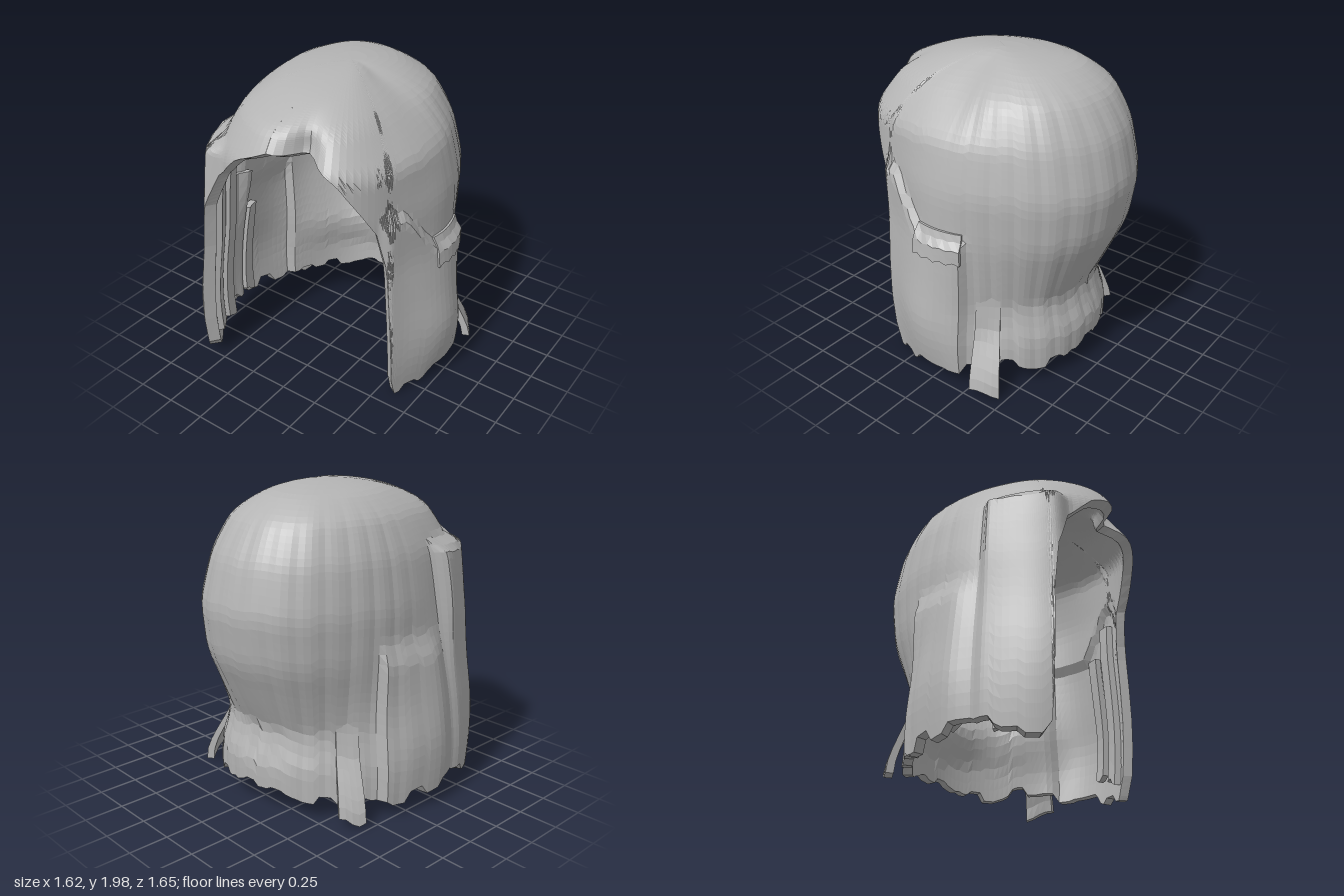
import * as THREE from 'three';

const D = Math.PI / 180;
const clamp01 = t => Math.min(1, Math.max(0, t));
const smooth = (a, b, t) => { const s = clamp01((t - a) / (b - a)); return s * s * (3 - 2 * s); };
const drop = y => Math.sqrt(Math.max(0, 2 - y));

// Hair radius every 30 degrees (0 = front, 90 = +x, 180 = back) at each height
const heights = [2, 1.95, 1.82, 1.6, 1.3, 1.0, 0.7, 0.5, 0.4, 0.2, 0];
const radii = [
  [0, 0, 0, 0, 0, 0, 0, 0, 0, 0, 0, 0],
  [.41, .34, .22, .16, .22, .32, .40, .45, .40, .37, .37, .40],
  [.73, .63, .46, .39, .46, .55, .62, .65, .58, .54, .57, .67],
  [.87, .80, .67, .60, .60, .68, .76, .76, .68, .64, .69, .82],
  [.87, .81, .69, .67, .67, .76, .83, .82, .72, .69, .74, .85],
  [.87, .81, .68, .68, .66, .74, .79, .78, .70, .69, .79, .91],
  [.85, .81, .70, .71, .62, .64, .65, .66, .64, .71, .85, .96],
  [.85, .81, .71, .74, .60, .58, .55, .58, .61, .74, .87, .98],
  [.85, .81, .71, .75, .65, .65, .65, .66, .65, .75, .88, .98],
  [.85, .81, .70, .72, .68, .66, .65, .66, .67, .74, .88, .97],
  [.85, .81, .67, .67, .68, .66, .63, .65, .68, .72, .86, .95],
];

// Smooth periodic interpolation around one ring
function ring(row, a) {
  const f = (((a % 360) + 360) % 360) / 30, i = Math.floor(f), t = f - i;
  const [p, q, r, s] = [-1, 0, 1, 2].map(k => row[(i + k + 12) % 12]);
  return q + 0.5 * t * (r - p + t * (2 * p - 5 * q + 4 * r - s + t * (3 * (q - r) + s - p)));
}

function profile(a, w) {
  let k = 0;
  while (k < heights.length - 2 && w > drop(heights[k + 1])) k++;
  const w0 = drop(heights[k]), t = clamp01((w - w0) / (drop(heights[k + 1]) - w0));
  return ring(radii[k], a) * (1 - t) + ring(radii[k + 1], a) * t;
}

function radius(a, y) {
  // softened vertical profile
  const w = drop(y), d = Math.min(w / 2, 0.03);
  let r = (profile(a, w - d) + profile(a, w) + profile(a, w + d)) / 3;
  // parting dent over the forehead
  r -= 0.13 * Math.exp(-(((a - 14) / 7) ** 2)) * smooth(1.95, 1.7, y);
  // raised lock on the +x side, its top edge falling toward the back
  const top = 1.36 - 0.3 * smooth(56, 84, a);
  r += 0.045 * smooth(46, 54, a) * smooth(109, 106, a) * smooth(top, top - 0.07, y);
  // raised lock on the -x side
  r += 0.05 * smooth(255, 258, a) * smooth(300, 285, a) * smooth(1.15, 0.95, y);
  // front lock on the -x side, standing off below a ledge
  r += (0.03 + 0.06 * smooth(0.7, 1.4, y)) * smooth(296, 301, a) * smooth(336, 326, a) * smooth(1.66, 1.57, y);
  return r;
}

// Combed ridges round the back
const ridges = (a, y) => 0.006 * Math.abs(Math.sin(a * D * 15)) * smooth(85, 115, a)
  * smooth(290, 260, a) * smooth(1.98, 1.7, y);

// Lower edge of the hair: [angle, height]
const edge = [[0, 1.72], [10, 1.71], [17, 1.7], [29, 1.6], [38, 1.42], [46, 1.25], [51, 1], [54, .2], [57, .04],
  [74, .04], [78, .1], [105, .1], [108, .2], [130, .2], [140, .14], [165, .14], [180, .2], [200, .22], [215, .17],
  [250, .14], [270, .13], [290, .17], [303, .17], [307, .08], [320, .07], [323, .14], [325, .9], [327, 1.2],
  [333, 1.45], [346, 1.63], [360, 1.72]];

function hairline(a) {
  let i = 0;
  while (i < edge.length - 2 && a > edge[i + 1][0]) i++;
  const [[a0, y0], [a1, y1]] = [edge[i], edge[i + 1]];
  const y = y0 + (y1 - y0) * clamp01((a - a0) / (a1 - a0));
  // stepped ragged tips
  const n = Math.sin(Math.floor(a / 9) * 12.99) * 43758.5;
  return y < 0.5 ? Math.max(0, y + (n - Math.floor(n) - 0.5) * 0.08) : y;
}

// Thick sheet of hair between two heights across a list of angles
function sheet({ angles, top, bottom, nv, power = 1, offset, thick = 0.08, closed = false }) {
  const pos = [], idx = [], nu = angles.length, row = nv + 1, side = nu * row;
  for (const inner of [0, 1]) {
    for (const a of angles) {
      const y0 = top(a), y1 = bottom(a);
      for (let j = 0; j <= nv; j++) {
        const y = y0 - (y0 - y1) * (j / nv) ** power;
        const r = (radius(a, y) + offset(a, y, inner)) * (1 - inner * thick);
        pos.push(r * Math.sin(a * D), y - inner * thick * 0.7 * smooth(1.4, 1.95, y), r * Math.cos(a * D));
      }
    }
  }
  const quad = (a, b, c, d) => idx.push(a, b, c, a, c, d);
  for (let i = 0; i < nu - 1; i++) {
    const p = i * row, q = p + row;
    for (let j = 0; j < nv; j++) {
      quad(p + j, p + j + 1, q + j + 1, q + j);
      quad(side + p + j, side + q + j, side + q + j + 1, side + p + j + 1);
    }
    quad(p + nv, side + p + nv, side + q + nv, q + nv);
    if (!closed) quad(p, q, side + q, side + p);
  }
  if (!closed) {
    const e = (nu - 1) * row;
    for (let j = 0; j < nv; j++) {
      quad(j, side + j, side + j + 1, j + 1);
      quad(e + j, e + j + 1, side + e + j + 1, side + e + j);
    }
  }
  const g = new THREE.BufferGeometry();
  g.setAttribute('position', new THREE.Float32BufferAttribute(pos, 3));
  g.setIndex(idx);
  g.computeVertexNormals();
  return g;
}

const span = (a0, a1, n) => Array.from({ length: n + 1 }, (_, i) => a0 + (a1 - a0) * i / n);

export function createModel() {
  const group = new THREE.Group();
  const hair = new THREE.MeshStandardMaterial({ color: 0xb4b4b4, flatShading: true, side: THREE.DoubleSide });
  hair.name = 'hairGrey';
  const add = (name, options) => {
    const mesh = new THREE.Mesh(sheet(options), hair);
    mesh.name = name;
    group.add(mesh);
  };

  // Main hair: crown, side locks and flared nape in one thick shell
  const angles = [...span(0, 45, 15), ...span(46, 58, 16), ...span(60, 294, 78), ...span(295, 303, 6),
    ...span(305, 315, 4), ...span(316, 334, 24), ...span(336, 360, 8)];
  add('hairShell', {
    angles, top: () => 2, bottom: hairline, nv: 40, power: 1.6, closed: true,
    offset: (a, y, inner) => (inner ? 0 : ridges(a, y)),
  });

  // Layered strips lining the inside of both front locks
  [[314, 322, 1.3, .2], [304, 312, 1.3, .16], [295, 302, 1.2, .22], [285, 293, .9, .2],
    [56, 63, 1.2, .14], [66, 74, 1.0, .2]].forEach(([a0, a1, y0, y1], i) =>
    add('innerStrip' + (i + 1), {
      angles: span(a0, a1, 3), top: () => y0, bottom: a => y1 + 0.03 * Math.sin(a * 2), nv: 9,
      offset: () => -0.06 - (i % 2) * 0.02, thick: 0.06,
    }));

  // Loose strands flicking outward behind the ears
  [['leftStrand', 112, 125, 0.12], ['rightStrand', 234, 246, 0.09]].forEach(([name, a0, a1, flick]) =>
    add(name, {
      angles: span(a0, a1, 4), top: () => 0.72, bottom: a => 0.06 + 0.03 * Math.sin(a * 1.7), nv: 9,
      offset: (a, y) => -0.01 + 0.03 * smooth(0.72, 0.5, y) + flick * smooth(0.45, 0.05, y), thick: 0.06,
    }));

  // Short ledge of overlapping hair above the +x lock
  add('sideLedge', {
    angles: span(80, 106, 8), top: () => 1.08, bottom: a => 0.9 + 0.01 * Math.sin(a), nv: 4,
    offset: () => 0.014, thick: 0.05,
  });

  return group;
}
